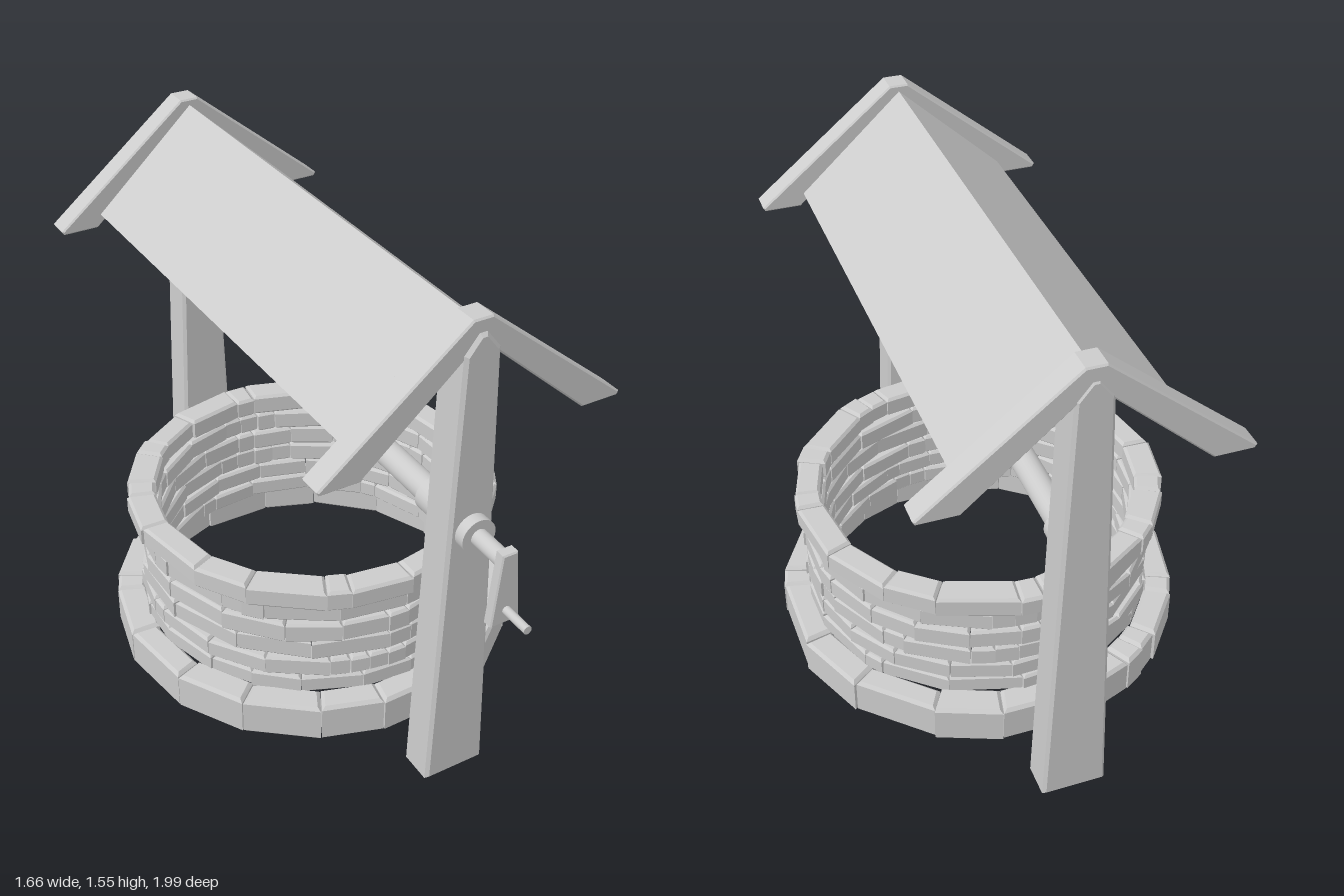
import * as THREE from 'three';

const grey = new THREE.MeshStandardMaterial({ color: 0xcccccc, flatShading: true });
const greySmooth = new THREE.MeshStandardMaterial({ color: 0xcccccc });

// Small seeded generator for the irregular masonry
let seed = 7;
const rand = () => {
  seed = (seed * 16807) % 2147483647;
  return seed / 2147483647;
};

function add(parent, geometry, name, material = grey) {
  const mesh = new THREE.Mesh(geometry, material);
  mesh.name = name;
  parent.add(mesh);
  return mesh;
}

// Outline pushed along z and chamfered, keeping its outer dimensions
function slab(points, z0, z1, bevel) {
  const shape = new THREE.Shape(points.map(([x, y]) => new THREE.Vector2(x, y)));
  const geo = new THREE.ExtrudeGeometry(shape, {
    depth: z1 - z0 - 2 * bevel,
    bevelEnabled: bevel > 0,
    bevelThickness: bevel, bevelSize: bevel, bevelOffset: -bevel, bevelSegments: 1,
  });
  return geo.translate(0, 0, z0 + bevel);
}

// Symmetric outline from its right half, listed counter-clockwise
const mirrored = (half) => [...half, ...half.map(([x, y]) => [-x, y]).reverse()];

// Cylinder along z
function rod(radius, z0, z1, sides = 24) {
  const geo = new THREE.CylinderGeometry(radius, radius, z1 - z0, sides);
  return geo.rotateX(Math.PI / 2).translate(0, 0, (z0 + z1) / 2);
}

// One ring of chamfered wedge stones of uneven lengths
function course(parent, name, { y0, y1, inner, outer, count, bevel }) {
  const ring = new THREE.Group();
  ring.name = name;
  const sizes = Array.from({ length: count }, () => (rand() < 0.3 ? 0.4 : 0.85 + rand() * 0.6));
  const total = sizes.reduce((a, b) => a + b, 0);
  let angle = rand() * Math.PI * 2;
  for (const size of sizes) {
    const next = angle + (size / total) * Math.PI * 2;
    const a = angle + 0.002, b = next - 0.002;
    const r0 = inner + (rand() - 0.5) * 0.012;
    const r1 = outer - rand() * 0.01;
    const skew = (rand() - 0.5) * 0.015;
    const at = (r, t) => [r * Math.cos(t), r * Math.sin(t)];
    const plan = [at(r0, a), at(r1, a + skew * 0.3), at(r1, b + skew * 0.3), at(r0, b)];
    const geo = slab(plan, y0, y1 - rand() * 0.005, bevel).rotateX(-Math.PI / 2);
    add(ring, geo, 'stone');
    angle = next;
  }
  parent.add(ring);
}

export function createModel() {
  const model = new THREE.Group();
  model.name = 'well';

  // Round stone wall: wide footing, thin courses, overhanging coping
  const wall = new THREE.Group();
  wall.name = 'stoneWall';
  wall.position.z = -0.01;
  model.add(wall);
  course(wall, 'footing', { y0: 0.005, y1: 0.14, inner: 0.56, outer: 0.655, count: 20, bevel: 0.011 });
  const levels = [0.125, 0.19, 0.258, 0.33, 0.403, 0.474];
  for (let i = 0; i < 5; i++) {
    course(wall, 'wallCourse', {
      y0: levels[i], y1: levels[i + 1], inner: 0.5, outer: i % 2 ? 0.575 : 0.57, count: 23, bevel: 0.008,
    });
  }
  course(wall, 'coping', { y0: 0.474, y1: 0.547, inner: 0.505, outer: 0.597, count: 23, bevel: 0.009 });

  // Timber frame, turned around the wall
  const frame = new THREE.Group();
  frame.name = 'timberFrame';
  frame.rotation.y = THREE.MathUtils.degToRad(29);
  model.add(frame);

  const postOutline = mirrored([[0.1, 0], [0.055, 1.46], [0.012, 1.515]]);
  const gableOutline = mirrored([[0, 1.49], [0.35, 1.18], [0.468, 1.18], [0.475, 1.192], [0.03, 1.555]])
    .filter((p, i) => i !== 9);
  for (const [side, postZ, boardZ] of [['front', 0.8, 0.81], ['back', -0.82, -0.835]]) {
    add(frame, slab(postOutline, postZ - 0.06, postZ + 0.06, 0.01), side + 'Post');
    add(frame, slab(gableOutline, boardZ - 0.04, boardZ + 0.04, 0.005), side + 'GableBoards');
  }

  // Thin pitched roof between the gable boards
  const roofOutline = [[0, 1.515], [0.328, 1.214], [0.338, 1.225], [0, 1.535], [-0.338, 1.225], [-0.328, 1.214]];
  add(frame, slab(roofOutline, -0.82, 0.79, 0), 'roof');

  // Axle with collars at the posts
  const winch = new THREE.Group();
  winch.name = 'winch';
  winch.position.y = 0.905;
  frame.add(winch);
  add(winch, rod(0.04, -0.78, 0.76), 'axle', greySmooth);
  for (const [z0, z1] of [[-0.77, -0.7], [0.665, 0.75], [0.85, 0.895]]) {
    add(winch, rod(0.054, z0, z1), 'collar', greySmooth);
  }
  add(winch, rod(0.026, 0.88, 1.01), 'crankShaft', greySmooth);

  // Tapered crank arm and its handle
  const armOutline = mirrored([[0.047, -0.195], [0.024, 0.038]]);
  add(winch, slab(armOutline, 1.0, 1.035, 0.004), 'crankArm');
  add(winch, rod(0.013, 1.03, 1.13, 16).translate(0, -0.15, 0), 'crankHandle', greySmooth);

  return model;
}
